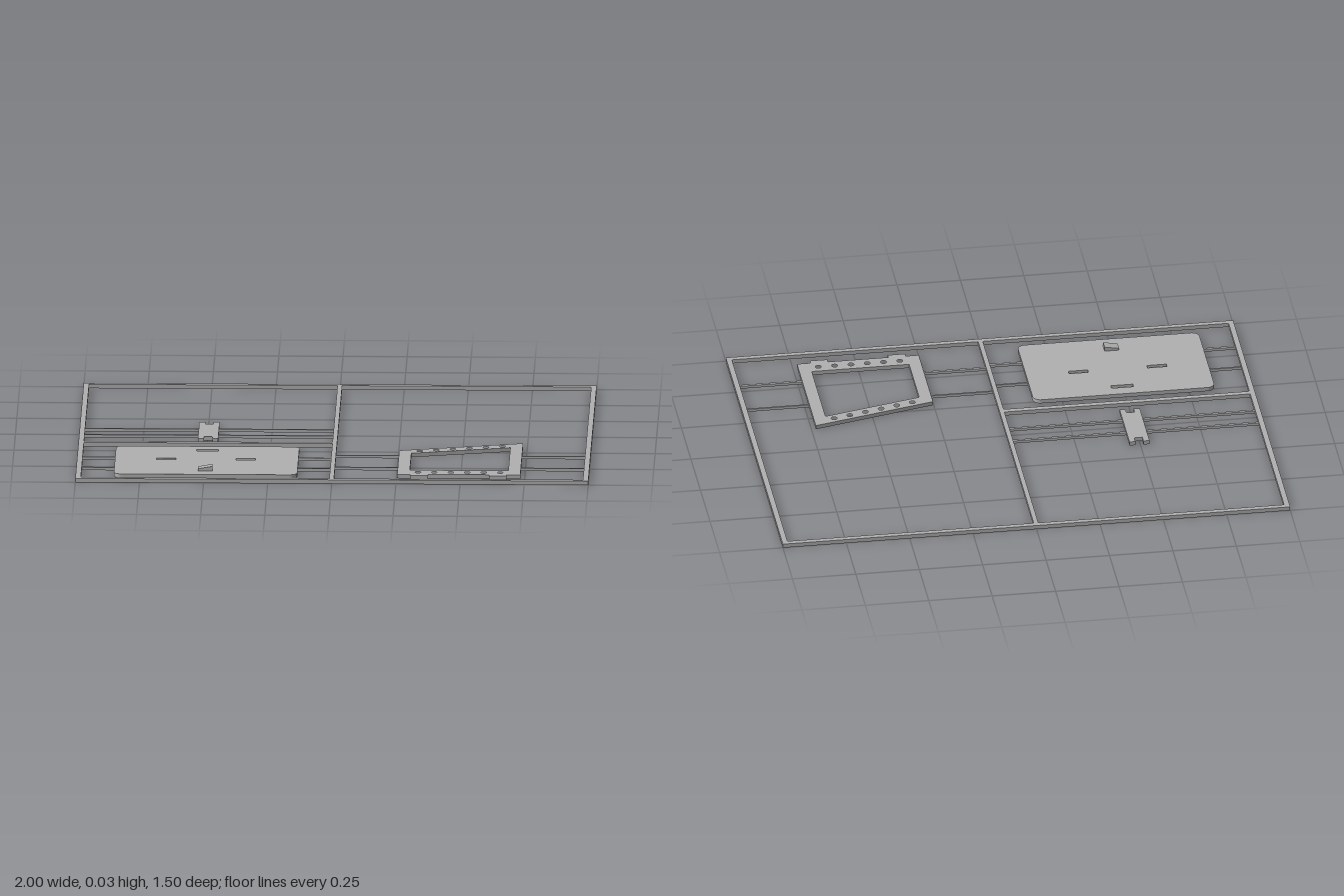
import * as THREE from 'three';

const T = 0.016; // common sheet thickness

export function createModel() {
  const model = new THREE.Group();
  model.name = 'partsFrame';
  const grey = new THREE.MeshStandardMaterial({ color: 0xb0b0b0 });
  grey.name = 'plain grey';

  const add = (name, geometry) => {
    const mesh = new THREE.Mesh(geometry, grey);
    mesh.name = name;
    model.add(mesh);
    return mesh;
  };
  // bar standing on the ground, given by its extents in x and z
  const bar = (name, x0, x1, z0, z1, h = T) => {
    const g = new THREE.BoxGeometry(x1 - x0, h, z1 - z0);
    add(name, g).position.set((x0 + x1) / 2, h / 2, (z0 + z1) / 2);
  };
  // flat sheet from an outline in (x, z)
  const points = (list) => list.map(([x, z]) => new THREE.Vector2(x, -z));
  const sheet = (name, shape) => {
    const g = new THREE.ExtrudeGeometry(shape, { depth: T, bevelEnabled: false, curveSegments: 8 });
    g.rotateX(-Math.PI / 2);
    add(name, g);
  };
  const rectHole = (x0, x1, z0, z1) => new THREE.Path(points([[x0, z0], [x0, z1], [x1, z1], [x1, z0]]));

  // outer frame and dividers
  bar('frameBack', -1, 1, -0.75, -0.729);
  bar('frameFront', -1, 1, 0.729, 0.75);
  bar('frameRight', -1, -0.979, -0.729, 0.729);
  bar('frameLeft', 0.979, 1, -0.729, 0.729);
  bar('centreDivider', -0.01, 0.008, -0.729, 0.729);
  bar('crossDivider', -0.979, -0.01, 0.161, 0.183);

  // thin runners that hold the parts
  const runner = (x0, x1, z, w) => bar('runner', x0, x1, z - w / 2, z + w / 2, 0.011);
  for (const z of [-0.058, 0.038]) {
    runner(-0.979, -0.53, z, 0.011);
    runner(-0.46, -0.01, z, 0.011);
  }
  for (const [z, w] of [[0.389, 0.007], [0.552, 0.011]]) {
    runner(-0.979, -0.85, z, w);
    runner(-0.14, -0.01, z, w);
  }
  for (const [z, w] of [[0.342, 0.007], [0.53, 0.011]]) {
    runner(0.008, 0.255, z, w);
    runner(0.73, 0.979, z, w);
  }

  // rounded base plate with three slots
  const [x0, x1, z0, z1, r] = [-0.852, -0.137, 0.236, 0.676, 0.03];
  const plate = new THREE.Shape();
  plate.absarc(x1 - r, -z0 - r, r, 0, Math.PI / 2);
  plate.absarc(x0 + r, -z0 - r, r, Math.PI / 2, Math.PI);
  plate.absarc(x0 + r, -z1 + r, r, Math.PI, Math.PI * 1.5);
  plate.absarc(x1 - r, -z1 + r, r, Math.PI * 1.5, Math.PI * 2);
  plate.holes.push(
    rectHole(-0.538, -0.451, 0.286, 0.306),
    rectHole(-0.691, -0.614, 0.425, 0.444),
    rectHole(-0.381, -0.304, 0.425, 0.444)
  );
  sheet('basePlate', plate);

  // small wedge on the plate, rising towards +x
  const wedge = new THREE.Shape();
  wedge.moveTo(-0.525, T);
  wedge.lineTo(-0.468, T);
  wedge.lineTo(-0.468, 0.034);
  wedge.lineTo(-0.525, 0.024);
  const wedgeGeometry = new THREE.ExtrudeGeometry(wedge, { depth: 0.039, bevelEnabled: false });
  wedgeGeometry.translate(0, 0, 0.581);
  add('wedge', wedgeGeometry);

  // connecting clip with a notch at each end
  sheet('clip', new THREE.Shape(points([
    [-0.536, -0.147], [-0.512, -0.147], [-0.512, -0.117], [-0.48, -0.117], [-0.48, -0.147], [-0.457, -0.147],
    [-0.457, 0.112], [-0.48, 0.112], [-0.48, 0.085], [-0.512, 0.085], [-0.512, 0.112], [-0.536, 0.112],
  ])));

  // sloped support with two tabs, a large opening and rows of round holes
  const support = new THREE.Shape(points([
    [0.253, 0.284], [0.733, 0.163], [0.733, 0.658], [0.68, 0.658], [0.68, 0.676], [0.611, 0.676],
    [0.611, 0.658], [0.373, 0.658], [0.373, 0.676], [0.304, 0.676], [0.304, 0.658], [0.253, 0.658],
  ]));
  support.holes.push(new THREE.Path(points([[0.301, 0.327], [0.301, 0.591], [0.685, 0.591], [0.685, 0.231]])));
  for (let i = 0; i < 6; i++) {
    const x = 0.333 + i * 0.0642;
    for (const z of [0.624, 0.291 - i * 0.0161]) {
      const hole = new THREE.Path();
      hole.absarc(x, -z, 0.0115, 0, Math.PI * 2, true);
      support.holes.push(hole);
    }
  }
  sheet('slopedSupport', support);

  return model;
}
